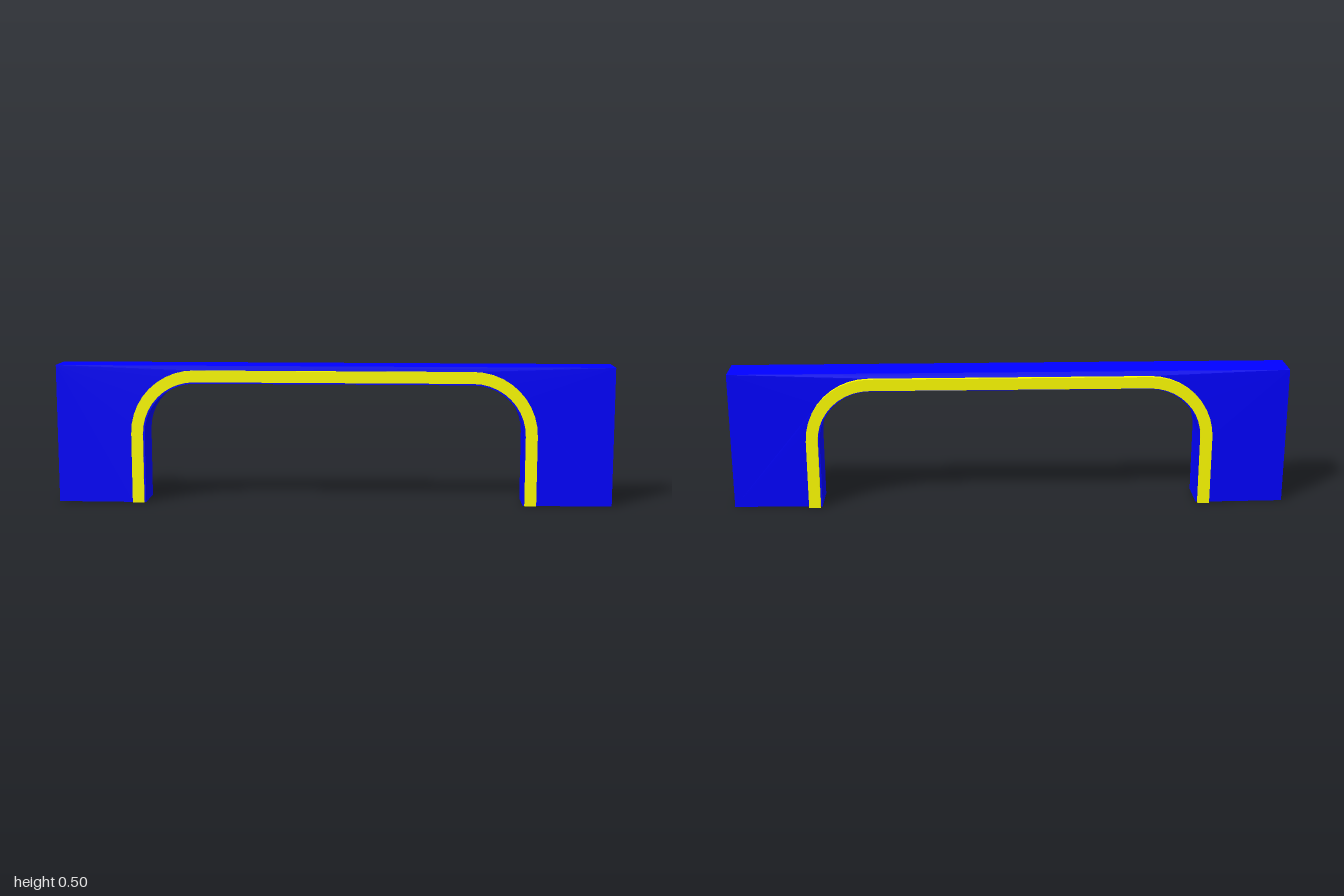
import * as THREE from 'three';

const CURVE = 10;

// Points of a round-shouldered arch from the right foot over to the left foot
function archPoints(halfWidth, top, radius) {
  const pts = [new THREE.Vector2(halfWidth, 0)];
  for (const [side, start] of [[1, 0], [-1, Math.PI / 2]]) {
    for (let i = 0; i <= CURVE; i++) {
      const a = start + (i / CURVE) * Math.PI / 2;
      pts.push(new THREE.Vector2(
        side * (halfWidth - radius) + radius * Math.cos(a),
        top - radius + radius * Math.sin(a)));
    }
  }
  pts.push(new THREE.Vector2(-halfWidth, 0));
  return pts;
}

// Extrudes a closed outline between two depths
function slab(points, back, front) {
  const geo = new THREE.ExtrudeGeometry(new THREE.Shape(points), {
    depth: front - back, bevelEnabled: false,
  });
  return geo.translate(0, 0, back);
}

// Outline of a band between two nested arches
const band = (outer, inner) => [...outer, ...inner.slice().reverse()];

export function createModel() {
  const group = new THREE.Group();
  const blue = new THREE.MeshStandardMaterial({ color: 0x0000ff });
  const yellow = new THREE.MeshStandardMaterial({ color: 0xffff00 });
  const add = (name, geo, material) => {
    const mesh = new THREE.Mesh(geo, material);
    mesh.name = name;
    group.add(mesh);
  };

  const outer = archPoints(0.73, 0.483, 0.23);
  const middle = archPoints(0.688, 0.441, 0.19);
  const inner = archPoints(0.682, 0.435, 0.184);

  // Wall with the arch cut out, slightly thicker towards the opening
  const wall = slab([
    ...outer,
    new THREE.Vector2(-1, 0), new THREE.Vector2(-1, 0.5),
    new THREE.Vector2(1, 0.5), new THREE.Vector2(1, 0),
  ], -0.058, 0.068);
  const p = wall.attributes.position;
  for (let i = 0; i < p.count; i++) {
    if (Math.abs(p.getX(i)) < 0.99 && p.getY(i) < 0.49) {
      p.setZ(i, p.getZ(i) < 0 ? -0.063 : 0.07);
    }
  }
  wall.computeVertexNormals();
  add('wall', wall, blue);

  // Raised trim running through the full thickness
  add('archTrim', slab(band(outer, middle), -0.077, 0.077), yellow);

  // Thin lining on the inside of the opening
  add('archLining', slab(band(middle, inner), -0.063, 0.07), blue);

  return group;
}
